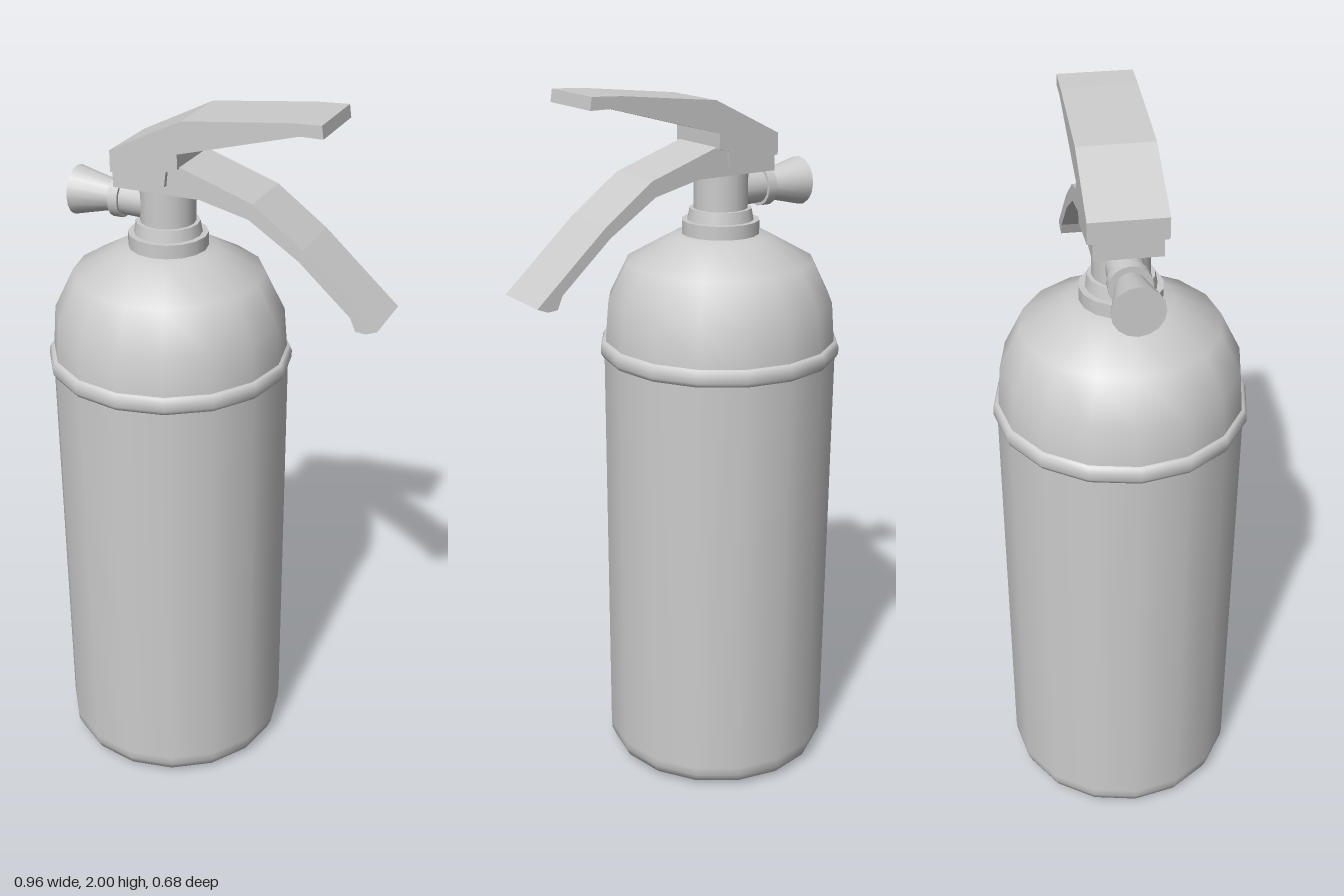
import * as THREE from 'three';

export function createModel() {
  const root = new THREE.Group();
  root.name = 'fireExtinguisher';
  const material = new THREE.MeshStandardMaterial({ color: 0xcccccc });
  const axisX = -0.142; // centre line of the tank
  const SIDES = 16;

  function add(name, geometry, parent, x = 0, y = 0, z = 0) {
    const mesh = new THREE.Mesh(geometry, material);
    mesh.name = name;
    mesh.position.set(x, y, z);
    parent.add(mesh);
    return mesh;
  }
  const points = (list) => list.map(([x, y]) => new THREE.Vector2(x, y));
  const lathe = (profile, sides = SIDES) => new THREE.LatheGeometry(points(profile), sides);

  // Side outline extruded across z, centred on z = 0
  function plate(outline, width) {
    const geometry = new THREE.ExtrudeGeometry(new THREE.Shape(points(outline)), {
      depth: width, bevelEnabled: false,
    });
    return geometry.translate(0, 0, -width / 2);
  }

  // Tank: rounded foot, straight wall, shoulder bead and dome
  const tank = new THREE.Group();
  tank.name = 'tank';
  tank.position.x = axisX;
  root.add(tank);
  add('cylinderBody', lathe([
    [0, 0], [0.27, 0], [0.289, 0.003], [0.315, 0.02], [0.326, 0.045],
    [0.328, 0.07], [0.328, 1.26], [0.328, 1.275],
  ]), tank);
  add('shoulderBead', lathe([
    [0.318, 1.25], [0.331, 1.253], [0.338, 1.265], [0.338, 1.285], [0.331, 1.298], [0.316, 1.302],
  ]), tank);
  add('dome', lathe([
    [0.326, 1.27], [0.324, 1.3], [0.315, 1.41], [0.261, 1.52], [0.135, 1.59], [0.06, 1.602], [0, 1.602],
  ]), tank);

  // Valve: stacked collars and neck
  const valve = new THREE.Group();
  valve.name = 'valve';
  valve.position.x = axisX;
  root.add(valve);
  for (const [name, top, bottom, y0, y1] of [
    ['lowerCollar', 0.108, 0.108, 1.57, 1.632],
    ['upperCollar', 0.086, 0.092, 1.632, 1.664],
    ['neck', 0.075, 0.075, 1.66, 1.78],
  ]) {
    add(name, new THREE.CylinderGeometry(top, bottom, y1 - y0, SIDES), valve, 0, (y0 + y1) / 2);
  }

  // Nozzle: stem, ring and flared mouth, pointing to -x
  const nozzle = new THREE.Group();
  nozzle.name = 'nozzle';
  nozzle.position.set(axisX, 1.71, 0);
  nozzle.rotation.z = Math.PI / 2;
  root.add(nozzle);
  for (const [name, outer, inner, from, to] of [
    ['stem', 0.047, 0.05, 0.03, 0.126],
    ['ring', 0.056, 0.056, 0.124, 0.152],
    ['mouth', 0.067, 0.039, 0.15, 0.268],
  ]) {
    add(name, new THREE.CylinderGeometry(outer, inner, to - from, SIDES), nozzle, 0, (from + to) / 2);
  }

  // Fixed carrying handle
  add('upperHandle', plate([
    [-0.257, 1.81], [-0.103, 1.79], [-0.098, 1.83], [-0.066, 1.84], [-0.066, 1.88],
    [0.26, 1.967], [0.32, 1.967], [0.315, 2.0], [0.23, 1.996], [-0.055, 1.966], [-0.257, 1.867],
  ], 0.2), root);

  // Squeeze lever sweeping down with a lipped tip
  add('lowerLever', plate([
    [-0.257, 1.765], [-0.01, 1.765], [0.124, 1.733], [0.262, 1.643], [0.405, 1.515],
    [0.42, 1.48], [0.448, 1.478], [0.478, 1.49], [0.272, 1.675], [0.135, 1.775],
    [-0.066, 1.843], [-0.11, 1.82], [-0.257, 1.815],
  ], 0.174), root);

  return root;
}
